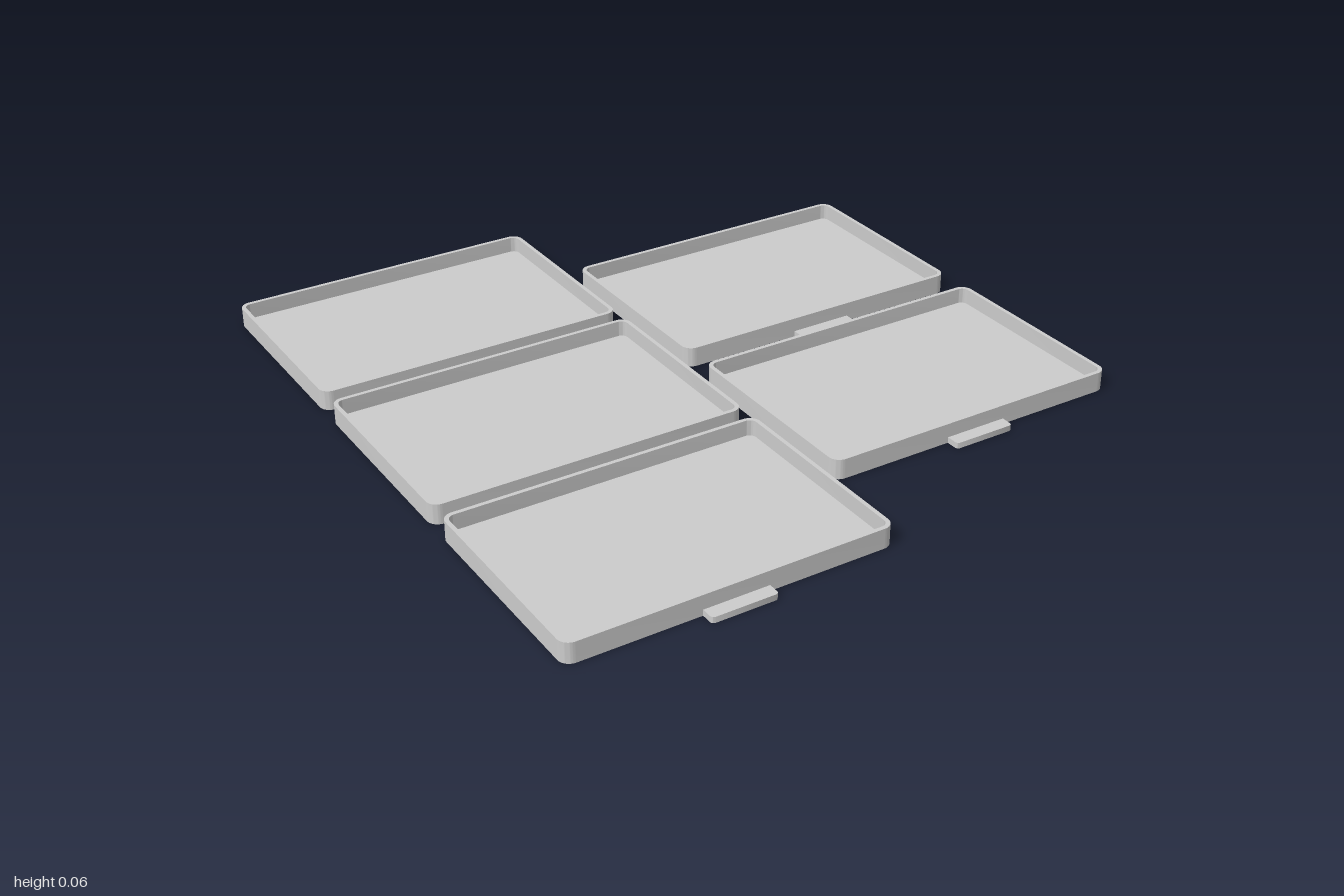
import * as THREE from 'three';
import { toCreasedNormals } from 'three/addons/utils/BufferGeometryUtils.js';

const W = 0.918, D = 0.622, H = 0.058; // tray size
const WALL = 0.012, FLOOR = 0.012, RADIUS = 0.032;
const TAB = 0.039; // how far the tab sticks out

// Rounded rectangle centred on the origin, with separate radii for its two ends
function roundedRect(target, w, d, rFront, rBack) {
  const x = w / 2, y = d / 2;
  target.moveTo(-x + rFront, -y);
  target.lineTo(x - rFront, -y);
  if (rFront) target.absarc(x - rFront, -y + rFront, rFront, -Math.PI / 2, 0);
  target.lineTo(x, y - rBack);
  if (rBack) target.absarc(x - rBack, y - rBack, rBack, 0, Math.PI / 2);
  target.lineTo(-x + rBack, y);
  if (rBack) target.absarc(-x + rBack, y - rBack, rBack, Math.PI / 2, Math.PI);
  target.lineTo(-x, -y + rFront);
  if (rFront) target.absarc(-x + rFront, -y + rFront, rFront, Math.PI, Math.PI * 1.5);
  return target;
}

// The tray's inner outline, used for both the rim opening and the floor
function innerOutline(target) {
  return roundedRect(target, W - 2 * WALL, D - 2 * WALL, RADIUS - WALL, RADIUS - WALL);
}

// Extrude a plan shape upwards; the shape's -y becomes +z
function slab(shape, height) {
  const geo = new THREE.ExtrudeGeometry(shape, { depth: height, bevelEnabled: false, curveSegments: 8 });
  geo.rotateX(-Math.PI / 2);
  return toCreasedNormals(geo, Math.PI / 6);
}

export function createModel() {
  const model = new THREE.Group();
  model.name = 'trays';
  const lightGrey = new THREE.MeshStandardMaterial({ color: 0xcccccc });
  lightGrey.name = 'lightGrey';

  // Rim wall, floor and pull tab shared by all trays
  const rim = roundedRect(new THREE.Shape(), W, D, RADIUS, RADIUS);
  rim.holes.push(innerOutline(new THREE.Path()));
  const parts = [
    ['wall', slab(rim, H), 0],
    ['floor', slab(innerOutline(new THREE.Shape()), FLOOR), 0],
    ['tab', slab(roundedRect(new THREE.Shape(), 0.186, TAB, 0.01, 0), 0.017), (D + TAB) / 2],
  ];

  // A column of three trays beside a staggered column of two
  const places = [
    [-0.482, -0.689], [-0.482, -0.019], [-0.482, 0.65],
    [0.482, -0.375], [0.482, 0.337],
  ];
  places.forEach(([x, z], i) => {
    const tray = new THREE.Group();
    tray.name = `tray${i + 1}`;
    for (const [name, geo, dz] of parts) {
      const mesh = new THREE.Mesh(geo, lightGrey);
      mesh.name = name;
      mesh.position.z = dz;
      tray.add(mesh);
    }
    tray.position.set(x, 0, z);
    model.add(tray);
  });
  return model;
}
